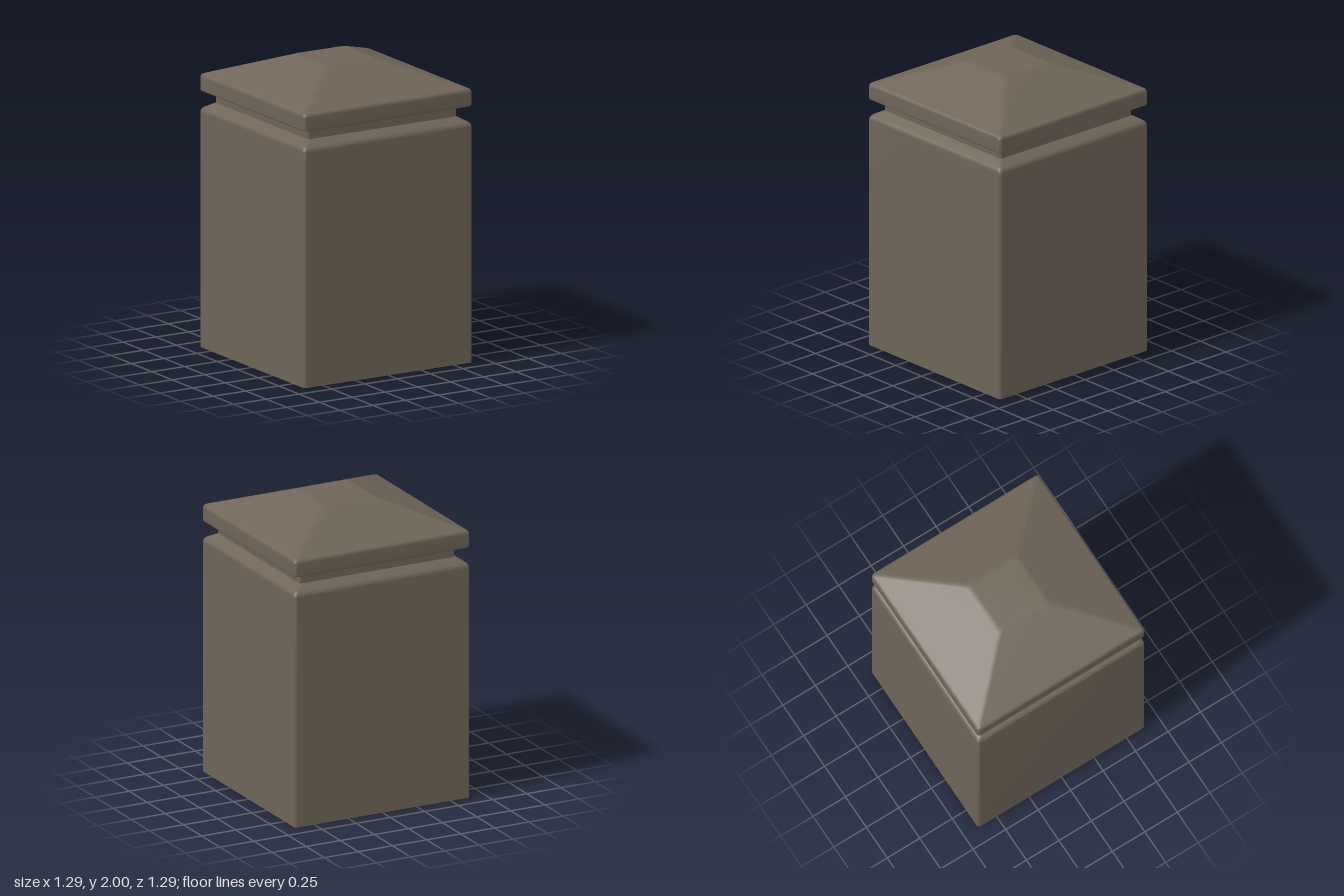
import * as THREE from 'three';

const CORNER_STEPS = 4;

// Square outline with rounded corners, counter-clockwise seen from above
function roundedSquare(half, y, radius) {
  const points = [];
  const r = Math.min(radius, half);
  for (let c = 0; c < 4; c++) {
    const mid = Math.PI / 4 + c * Math.PI / 2;
    const cx = Math.sign(Math.cos(mid)) * (half - r);
    const cz = -Math.sign(Math.sin(mid)) * (half - r);
    for (let k = 0; k <= CORNER_STEPS; k++) {
      const a = c * Math.PI / 2 + (k / CORNER_STEPS) * Math.PI / 2;
      points.push(cx + r * Math.cos(a), y, cz - r * Math.sin(a));
    }
  }
  return points;
}

// Smooth skin through rows of [half width, height, corner radius]
function loft(rows) {
  const n = 4 * (CORNER_STEPS + 1);
  const positions = rows.flatMap(([half, y, r = 0.022]) => roundedSquare(half, y, r));
  const index = [];
  for (let i = 0; i < rows.length - 1; i++) {
    for (let j = 0; j < n; j++) {
      const a = i * n + j, b = i * n + (j + 1) % n;
      index.push(a, b, b + n, a, b + n, a + n);
    }
  }
  const geometry = new THREE.BufferGeometry();
  geometry.setAttribute('position', new THREE.Float32BufferAttribute(positions, 3));
  geometry.setIndex(index);
  geometry.computeVertexNormals();
  return geometry;
}

export function createModel() {
  const model = new THREE.Group();
  model.name = 'postWithCap';
  const stone = new THREE.MeshStandardMaterial({ color: 0x6f6558 });
  stone.name = 'brownStone';

  const add = (name, rows) => {
    const mesh = new THREE.Mesh(loft(rows), stone);
    mesh.name = name;
    model.add(mesh);
  };

  // Shaft with a softened shoulder, and its flat underside
  add('base', [[0, 0], [0.643, 0]]);
  add('shaft', [
    [0.643, 0], [0.643, 1.57], [0.641, 1.585], [0.634, 1.597],
    [0.624, 1.606], [0.568, 1.638],
  ]);

  // Recessed neck
  add('neck', [[0.568, 1.638, 0.012], [0.568, 1.712, 0.012]]);

  // Overhanging pyramid cap with rounded rim and flat top
  add('capUnderside', [[0, 1.71], [0.633, 1.71]]);
  add('cap', [
    [0.633, 1.71], [0.64, 1.714], [0.643, 1.722], [0.643, 1.803],
    [0.641, 1.815], [0.635, 1.824], [0.624, 1.83],
    [0.205, 1.992, 0.03], [0.19, 1.997, 0.03], [0.17, 2, 0.03], [0, 2],
  ]);

  return model;
}
